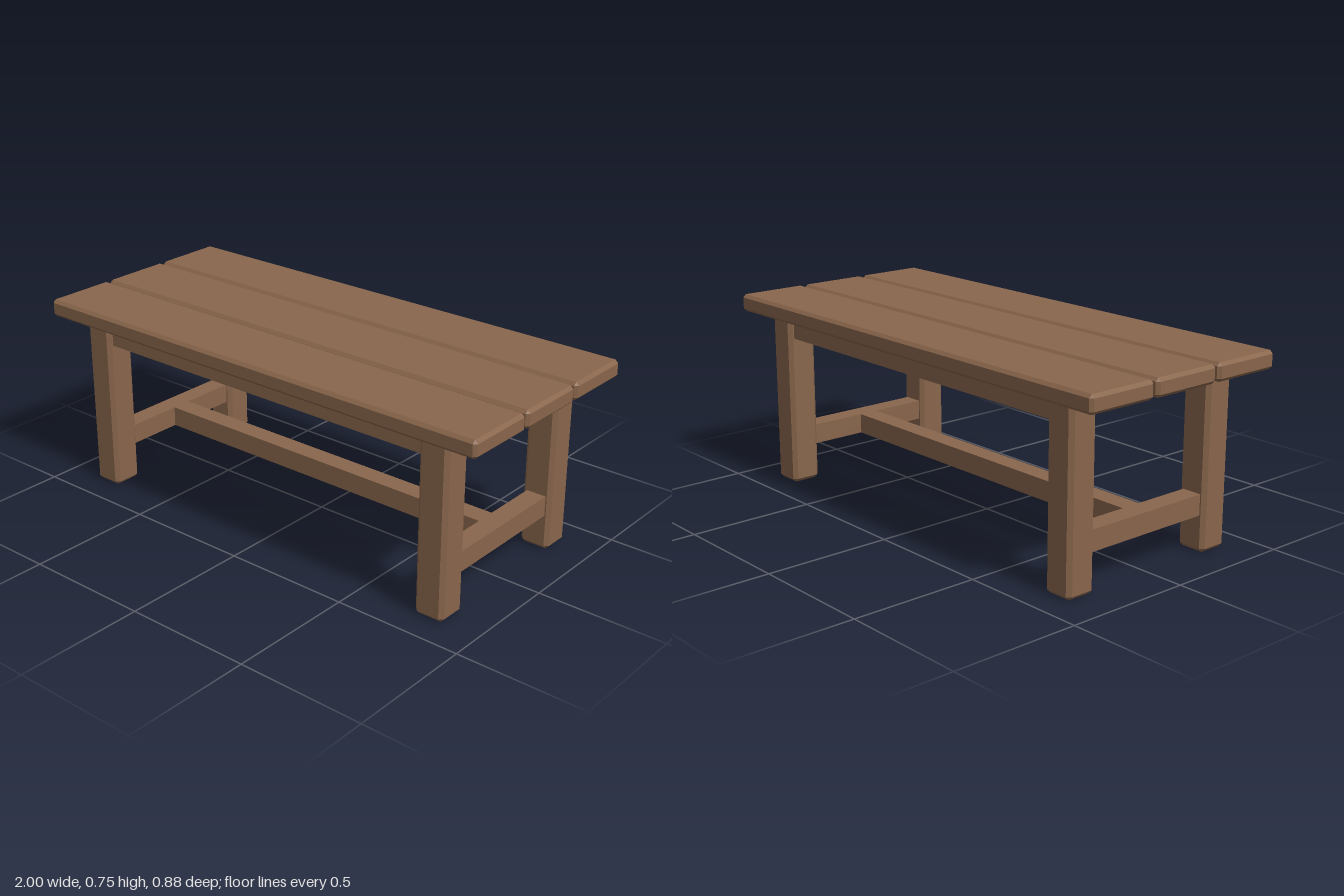
import * as THREE from 'three';
import { ConvexGeometry } from 'three/addons/geometries/ConvexGeometry.js';

// Box with every edge and corner chamfered by c
function chamferedBox(w, h, d, c) {
  const half = [w / 2, h / 2, d / 2];
  const points = [];
  for (const sx of [-1, 1]) for (const sy of [-1, 1]) for (const sz of [-1, 1]) {
    for (let axis = 0; axis < 3; axis++) {
      const p = half.map((v, i) => (i === axis ? v : v - c));
      points.push(new THREE.Vector3(sx * p[0], sy * p[1], sz * p[2]));
    }
  }
  return new ConvexGeometry(points);
}

export function createModel() {
  const table = new THREE.Group();
  table.name = 'table';
  const wood = new THREE.MeshStandardMaterial({ color: 0x89664c });
  wood.name = 'brown wood';

  const add = (name, geometry, x, y, z) => {
    const mesh = new THREE.Mesh(geometry, wood);
    mesh.name = name;
    mesh.position.set(x, y, z);
    table.add(mesh);
  };

  // Table top: three planks with narrow gaps
  const plank = chamferedBox(2, 0.068, 0.287, 0.012);
  for (const i of [-1, 0, 1]) add('topPlank', plank, 0, 0.716, i * 0.299);

  // Four chunky legs
  const leg = chamferedBox(0.12, 0.68, 0.12, 0.015);
  for (const x of [-0.8, 0.8]) for (const z of [-0.33, 0.33]) add('leg', leg, x, 0.34, z);

  // Long aprons under the top, front and back
  const apron = new THREE.BoxGeometry(1.5, 0.08, 0.08);
  for (const z of [-0.33, 0.33]) add('apron', apron, 0, 0.641, z);

  // Low rails joining the legs at each end
  const endRail = new THREE.BoxGeometry(0.08, 0.08, 0.56);
  for (const x of [-0.8, 0.8]) add('endRail', endRail, x, 0.181, 0);

  // Central stretcher between the end rails
  add('stretcher', new THREE.BoxGeometry(1.52, 0.08, 0.08), 0, 0.181, 0);

  return table;
}
